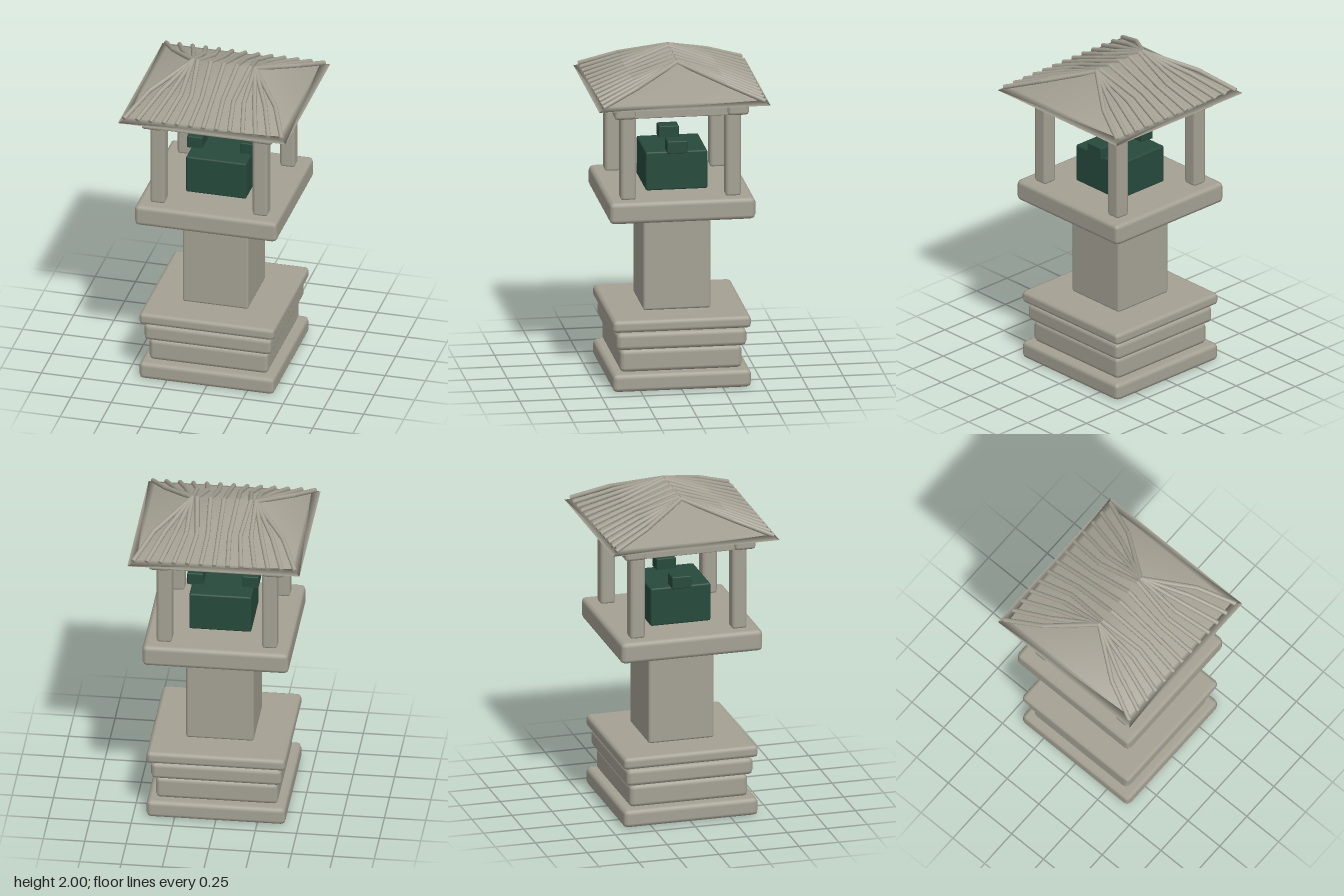
import * as THREE from 'three';
import { RoundedBoxGeometry } from 'three/addons/geometries/RoundedBoxGeometry.js';

export function createModel() {
  const model = new THREE.Group();
  const stone = new THREE.MeshStandardMaterial({ color: 0xa5a194 });
  stone.name = 'stone';
  const green = new THREE.MeshStandardMaterial({ color: 0x274a3d });
  green.name = 'darkGreen';

  function add(name, geometry, material) {
    const mesh = new THREE.Mesh(geometry, material);
    mesh.name = name;
    model.add(mesh);
    return mesh;
  }
  // Bevelled block given by width, depth and its bottom and top heights
  function block(name, w, d, y0, y1, bevel, material = stone, x = 0, z = 0) {
    const mesh = add(name, new RoundedBoxGeometry(w, y1 - y0, d, 1, bevel), material);
    mesh.position.set(x, (y0 + y1) / 2, z);
  }

  // Stepped base, column and table
  block('baseStep1', 0.84, 0.84, 0.0, 0.11, 0.028);
  block('baseStep2', 0.74, 0.74, 0.11, 0.25, 0.028);
  block('baseStep3', 0.79, 0.79, 0.253, 0.36, 0.028);
  block('baseStep4', 0.84, 0.84, 0.37, 0.445, 0.025);
  block('column', 0.41, 0.41, 0.445, 1.06, 0.015);
  block('table', 0.885, 0.885, 1.055, 1.188, 0.028);

  // Posts with capitals, and the beams between them
  for (const s of [-1, 1]) {
    for (const t of [-1, 1]) {
      block('post', 0.095, 0.095, 1.18, 1.71, 0.02, stone, s * 0.318, t * 0.318);
      block('capital', 0.13, 0.13, 1.697, 1.79, 0.02, stone, s * 0.343, t * 0.343);
    }
    block('crossBeam', 0.7, 0.07, 1.697, 1.788, 0.006, stone, 0, s * 0.35);
    block('sideBeam', 0.07, 0.7, 1.697, 1.788, 0.006, stone, s * 0.35, 0);
  }

  // Chest on the table with two small blocks on its top
  block('chest', 0.375, 0.375, 1.188, 1.427, 0.01, green);
  for (const s of [-1, 1]) block('chestBlock', 0.097, 0.122, 1.42, 1.497, 0.006, green, s * 0.167, 0);

  // Hipped roof: rim, inner ring and ridge, with smooth shading
  const points = [];
  for (const [h, y] of [[0.52, 1.785], [0.47, 1.806]]) {
    points.push(-h, y, h, h, y, h, h, y, -h, -h, y, -h);
  }
  points.push(-0.2, 1.986, 0, 0.2, 1.986, 0);
  const faces = [0, 2, 1, 0, 3, 2];
  for (let i = 0; i < 4; i++) {
    const j = (i + 1) % 4;
    faces.push(i, j, 4 + j, i, 4 + j, 4 + i);
  }
  faces.push(4, 5, 9, 4, 9, 8, 5, 6, 9, 6, 7, 8, 6, 8, 9, 7, 4, 8);
  const roof = new THREE.BufferGeometry();
  roof.setAttribute('position', new THREE.Float32BufferAttribute(points, 3));
  roof.setIndex(faces);
  roof.computeVertexNormals();
  add('roof', roof, stone);

  // Round roof ribs, each bent once on its way to the ridge
  const up = new THREE.Vector3(0, 1, 0);
  function rod(a, b) {
    const dir = b.clone().sub(a);
    const mesh = add('roofRib', new THREE.CylinderGeometry(0.014, 0.014, dir.length() + 0.003, 10), stone);
    mesh.position.copy(a).add(b).multiplyScalar(0.5);
    mesh.quaternion.setFromUnitVectors(up, dir.normalize());
  }
  for (let i = -6; i <= 6; i++) {
    const x = i * 0.0815;
    for (const s of [-1, 1]) {
      const eave = new THREE.Vector3(x, 1.806, s * 0.492);
      const bend = new THREE.Vector3(x * 0.8, 1.892, s * 0.27);
      const ridge = new THREE.Vector3(THREE.MathUtils.clamp(x, -0.193, 0.193), 1.986, 0);
      rod(eave, bend);
      rod(bend, ridge);
    }
  }
  return model;
}
